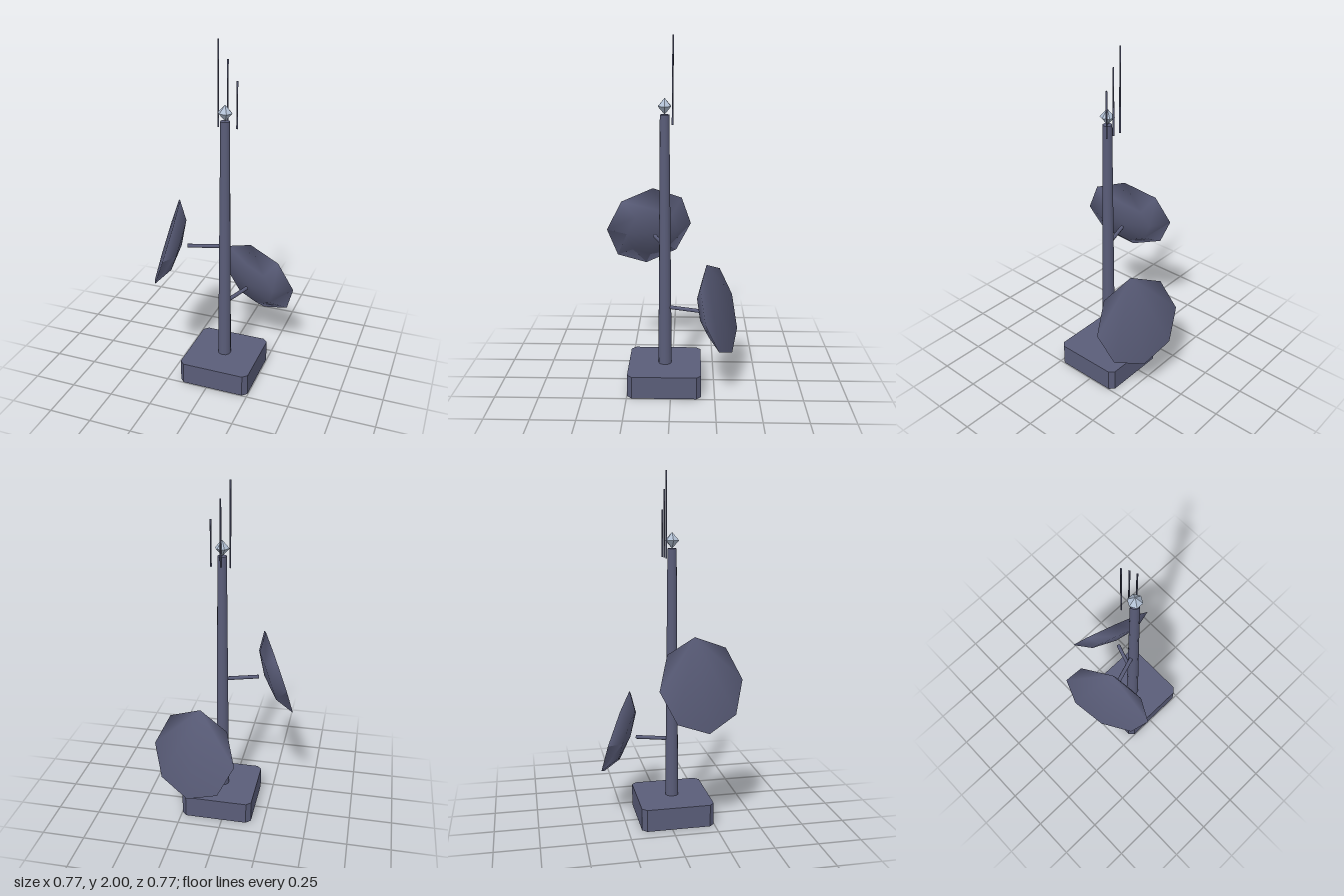
import * as THREE from 'three';

const CX = 0.037, CZ = 0.037; // mast axis

export function createModel() {
  const group = new THREE.Group();
  const metal = new THREE.MeshStandardMaterial({ name: 'blueGreyMetal', color: 0x5a5d79 });
  const glass = new THREE.MeshStandardMaterial({ name: 'paleLamp', color: 0xb2c0d4, flatShading: true });

  const add = (parent, name, geometry, material, x = 0, y = 0, z = 0) => {
    const mesh = new THREE.Mesh(geometry, material);
    mesh.name = name;
    mesh.position.set(x, y, z);
    parent.add(mesh);
    return mesh;
  };

  // Square plinth with cut vertical corners
  const h = 0.21, c = 0.183;
  const outline = new THREE.Shape([
    [-c, -h], [c, -h], [h, -c], [h, c], [c, h], [-c, h], [-h, c], [-h, -c],
  ].map(([x, y]) => new THREE.Vector2(x, y)));
  const plinth = new THREE.ExtrudeGeometry(outline, { depth: 0.13, bevelEnabled: false });
  plinth.rotateX(-Math.PI / 2);
  add(group, 'base', plinth, metal, CX, 0, CZ);

  // Tapered mast
  add(group, 'mast', new THREE.CylinderGeometry(0.026, 0.039, 1.45, 12), metal, CX, 0.855, CZ);

  // Six-sided double-pyramid lamp
  const lamp = new THREE.CylinderGeometry(0, 0.041, 0.045, 6, 1, true);
  lamp.rotateY(Math.PI / 6);
  add(group, 'lampTop', lamp, glass, CX, 1.6475, CZ);
  add(group, 'lampBottom', lamp, glass, CX, 1.6025, CZ).rotation.x = Math.PI;

  // Thin three-sided aerials
  [[-0.016, 2.0], [0.037, 1.9], [0.09, 1.79]].forEach(([x, top]) => {
    const rod = new THREE.CylinderGeometry(0.0053, 0.0053, top - 1.53, 3);
    rod.rotateY(Math.PI);
    add(group, 'aerial', rod, metal, x, (top + 1.53) / 2, -0.006);
  });

  // Dishes on side arms, facing away from the mast
  const dishGeometry = createDish();
  const addDish = (dx, dz, armY, dishY) => {
    const mount = new THREE.Group();
    mount.name = 'dishMount';
    mount.position.set(CX, armY, CZ);
    mount.rotation.y = Math.atan2(dx, dz);
    const arm = new THREE.CylinderGeometry(0.0115, 0.0115, 0.212, 8);
    arm.rotateX(Math.PI / 2);
    add(mount, 'arm', arm, metal, 0, 0, 0.106);
    const dish = add(mount, 'dish', dishGeometry, metal, 0, dishY - armY, 0.327);
    dish.rotation.x = -0.305;
    group.add(mount);
  };
  addDish(-0.949, 0.315, 0.843, 0.872);
  addDish(0.315, -0.949, 0.475, 0.503);

  return group;
}

// Eight-sided dish: flat face towards +z, shallow dome behind
function createDish() {
  const n = 8;
  const position = [], index = [];
  [[0.263, 0], [0.158, -0.067]].forEach(([r, z]) => {
    for (let i = 0; i < n; i++) {
      const a = (i / n) * Math.PI * 2;
      position.push(r * Math.sin(a), r * Math.cos(a), z);
    }
  });
  position.push(0, 0, -0.086);
  for (let i = 0; i < n; i++) {
    const j = (i + 1) % n;
    index.push(i, j, n + i, j, n + j, n + i); // outer band
    index.push(n + i, n + j, 2 * n);          // inner cap
    if (i > 0 && i < n - 1) index.push(0, j, i); // front face
  }
  const geometry = new THREE.BufferGeometry();
  geometry.setAttribute('position', new THREE.Float32BufferAttribute(position, 3));
  geometry.setIndex(index);
  geometry.computeVertexNormals();
  return geometry;
}
